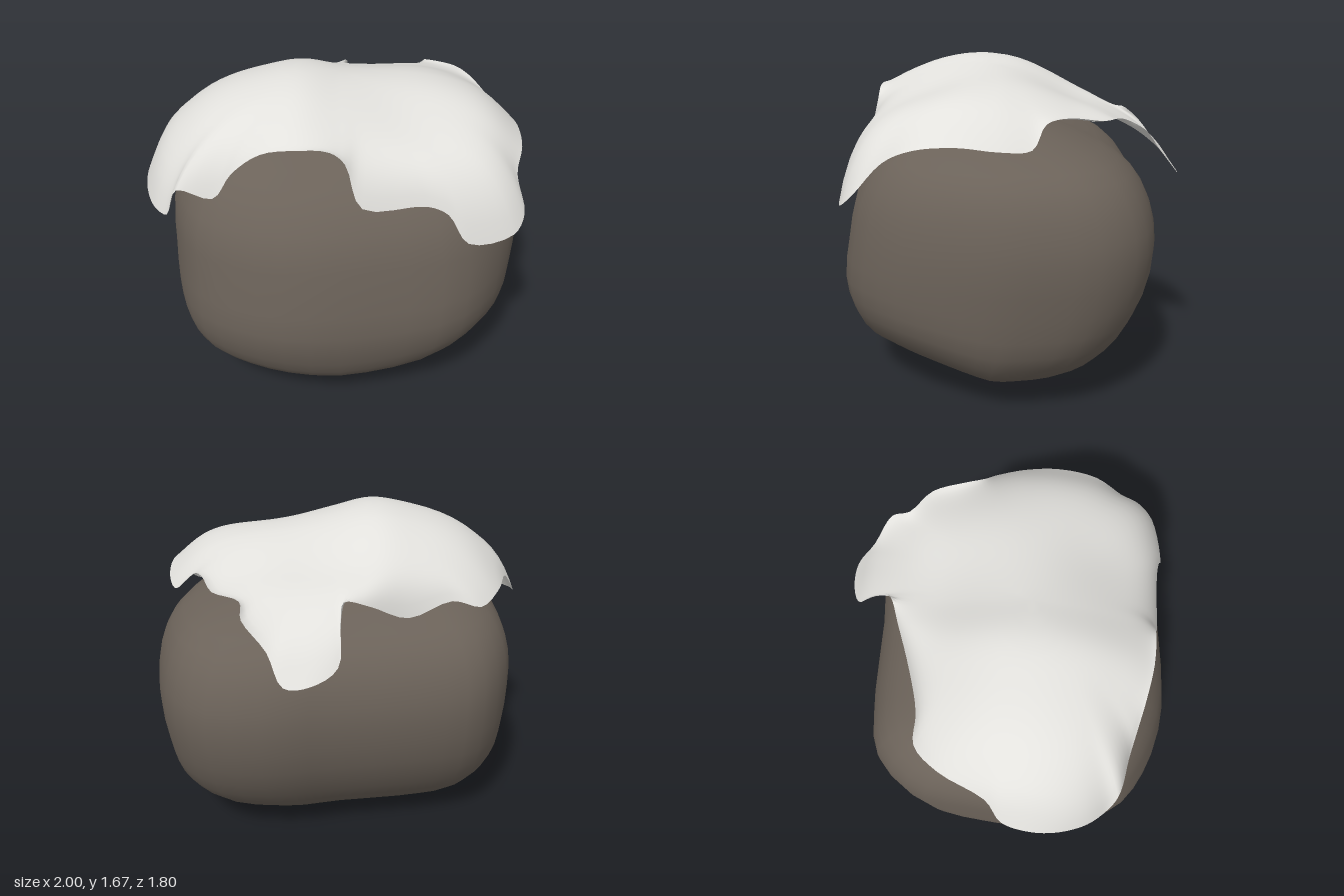
import * as THREE from 'three';
import { mergeVertices } from 'three/addons/utils/BufferGeometryUtils.js';

// Skin a stack of closed rings (lowest first, clockwise seen from above)
function loft(rings) {
  const n = rings[0].length;
  const index = [];
  for (let i = 0; i < rings.length - 1; i++) {
    for (let j = 0; j < n; j++) {
      const k = (j + 1) % n;
      const a = i * n + j, b = i * n + k, c = a + n, d = b + n;
      index.push(a, c, b, b, c, d);
    }
  }
  const geo = new THREE.BufferGeometry().setFromPoints(rings.flat());
  geo.setIndex(index);
  const merged = mergeVertices(geo, 1e-4);
  merged.computeVertexNormals();
  return merged;
}

// Closed smooth loop through a few points
function loop(points, count) {
  const curve = new THREE.CatmullRomCurve3(points.map(p => new THREE.Vector3(...p)), true, 'centripetal');
  return curve.getPoints(count).slice(0, -1);
}

// Smooth one-dimensional profile from [position, height] pairs
function profile(pairs) {
  const f = new THREE.CubicInterpolant(pairs.map(p => p[0]), pairs.map(p => p[1]), 1, [0]);
  return v => f.evaluate(v)[0];
}

// Each loop point averaged with its neighbours
function relax(points, reach) {
  const n = points.length;
  return points.map((_, j) => {
    const sum = new THREE.Vector3();
    for (let k = -reach; k <= reach; k++) sum.add(points[(j + k + n) % n]);
    return sum.divideScalar(2 * reach + 1);
  });
}

function rockGeometry() {
  // Plan outline at the widest part, scaled to fit each layer
  const plan = loop([
    [-0.89, 0, -0.1], [-0.85, 0, -0.4], [-0.67, 0, -0.64], [-0.4, 0, -0.71], [0.1, 0, -0.75],
    [0.4, 0, -0.79], [0.72, 0, -0.72], [0.9, 0, -0.53], [0.98, 0, -0.25], [1, 0, -0.02],
    [0.95, 0, 0.25], [0.83, 0, 0.53], [0.6, 0, 0.76], [0.2, 0, 0.86], [-0.2, 0, 0.9],
    [-0.5, 0, 0.83], [-0.73, 0, 0.68], [-0.86, 0, 0.4], [-0.89, 0, 0.15],
  ], 48);
  // Layers: y, xMin, xMax, zMin, zMax
  const layers = [
    [0, -0.15, -0.15, 0.03, 0.03],
    [0.015, -0.4, 0.2, -0.1, 0.12],
    [0.05, -0.58, 0.45, -0.22, 0.33],
    [0.1, -0.7, 0.68, -0.39, 0.6],
    [0.2, -0.8, 0.86, -0.53, 0.78],
    [0.35, -0.87, 0.955, -0.65, 0.86],
    [0.55, -0.89, 0.985, -0.745, 0.9],
    [0.8, -0.89, 1, -0.785, 0.865],
    [1, -0.88, 0.97, -0.75, 0.82],
    [1.15, -0.83, 0.9, -0.66, 0.735],
    [1.25, -0.75, 0.77, -0.51, 0.64],
    [1.35, -0.58, 0.45, -0.22, 0.48],
    [1.42, -0.38, 0.0, 0.0, 0.32],
    [1.445, -0.2, -0.2, 0.15, 0.15],
  ];
  const columns = plan.map(p => new THREE.CatmullRomCurve3(layers.map(([y, x0, x1, z0, z1]) =>
    new THREE.Vector3(
      THREE.MathUtils.mapLinear(p.x, -0.89, 1, x0, x1), y,
      THREE.MathUtils.mapLinear(p.z, -0.79, 0.9, z0, z1))), false, 'centripetal').getPoints(26));
  // Lift the underside at the front corners, most on the left
  for (const p of columns.flat()) {
    const corner = Math.max(0, p.z) * (p.x > 0 ? 0.65 * p.x ** 2 : -0.2 * p.x);
    p.y += corner * Math.max(0, 1 - p.y / 0.9) ** 2;
  }
  return loft(columns[0].map((_, i) => columns.map(column => column[i])));
}

function snowGeometry() {
  // Ragged rim with its drips, clockwise from the left bulge
  const rim = loop([
    [-1, 1.13, 0.22], [-0.98, 1.17, 0.08], [-0.9, 1.29, -0.01], [-0.8, 1.3, -0.25],
    [-0.68, 1.27, -0.39], [-0.53, 1.31, -0.4], [-0.3, 1.26, -0.48], [-0.1, 1.36, -0.56],
    [0.03, 1.41, -0.62], [0.05, 1.34, -0.71], [0.07, 1.18, -0.83], [0.2, 1.12, -0.89],
    [0.32, 1.12, -0.89], [0.39, 1.25, -0.79], [0.5, 1.37, -0.7], [0.51, 1.42, -0.6],
    [0.64, 1.43, -0.5], [0.7, 1.45, -0.34], [0.75, 1.43, -0.24], [0.85, 1.33, -0.18],
    [0.9, 1.33, -0.04], [0.915, 1.35, 0.15], [0.9, 1.33, 0.35], [0.855, 1.26, 0.5],
    [0.88, 1.12, 0.63], [0.82, 1.05, 0.71], [0.6, 1.04, 0.77], [0.5, 1.18, 0.74],
    [0.4, 1.22, 0.73], [0.1, 1.22, 0.75], [0.02, 1.43, 0.71], [-0.05, 1.49, 0.71],
    [-0.2, 1.5, 0.71], [-0.36, 1.47, 0.69], [-0.5, 1.36, 0.67], [-0.6, 1.22, 0.66],
    [-0.77, 1.25, 0.63], [-0.84, 1.09, 0.59], [-0.92, 1.08, 0.5], [-0.98, 1.1, 0.36],
  ], 160);
  // Roof height: one profile across, one front to back, a dip and a shoulder
  const across = profile([[-1, 1.2], [-0.9, 1.37], [-0.77, 1.48], [-0.63, 1.56], [-0.37, 1.64],
    [-0.2, 1.667], [0, 1.635], [0.6, 1.55], [0.75, 1.49], [0.92, 1.36]]);
  const along = profile([[-0.9, 1.12], [-0.8, 1.28], [-0.7, 1.37], [-0.55, 1.45], [-0.35, 1.51],
    [-0.1, 1.62], [0, 1.65], [0.18, 1.667], [0.37, 1.64], [0.57, 1.57], [0.8, 1.46]]);
  const bump = (x, z, px, pz) => Math.exp(-((x - px) ** 2 + (z - pz) ** 2) / 0.08);
  const roof = (x, z) => across(x) + along(z) - 1.667
    - 0.05 * bump(x, z, 0.35, 0.42) + 0.05 * bump(x, z, 0.45, -0.35);
  // Rim as offsets: x and z from the centre, y from the roof
  const cx = 0, cz = 0.1, steps = 18, rings = [];
  const edge = rim.map(p => new THREE.Vector3(p.x - cx, p.y - roof(p.x, p.z), p.z - cz));
  const inner = relax(relax(edge, 8), 8);
  const shrink = new THREE.Vector3(0.85, 1, 0.85);
  // Rings from rim to crown; the outer ones steepen into a skirt
  for (let i = steps; i >= 0; i--) {
    const t = i / steps;
    const r = 1 - (1 - t) ** 1.8;
    rings.push(edge.map((e, j) => {
      const q = inner[j].clone().multiply(shrink).lerp(e, t * t);
      const x = cx + q.x * r, z = cz + q.z * r;
      return new THREE.Vector3(x, roof(x, z) + q.y * t ** 5, z);
    }));
  }
  return loft(rings);
}

export function createModel() {
  const stone = new THREE.MeshStandardMaterial({ color: 0x6b6259 });
  const snow = new THREE.MeshStandardMaterial({ color: 0xe2e1dd, side: THREE.DoubleSide });
  stone.name = 'stone';
  snow.name = 'snow';

  const model = new THREE.Group();
  model.name = 'snowyRock';
  const rock = new THREE.Mesh(rockGeometry(), stone);
  rock.name = 'rock';
  const cap = new THREE.Mesh(snowGeometry(), snow);
  cap.name = 'snowCap';
  model.add(rock, cap);
  return model;
}
